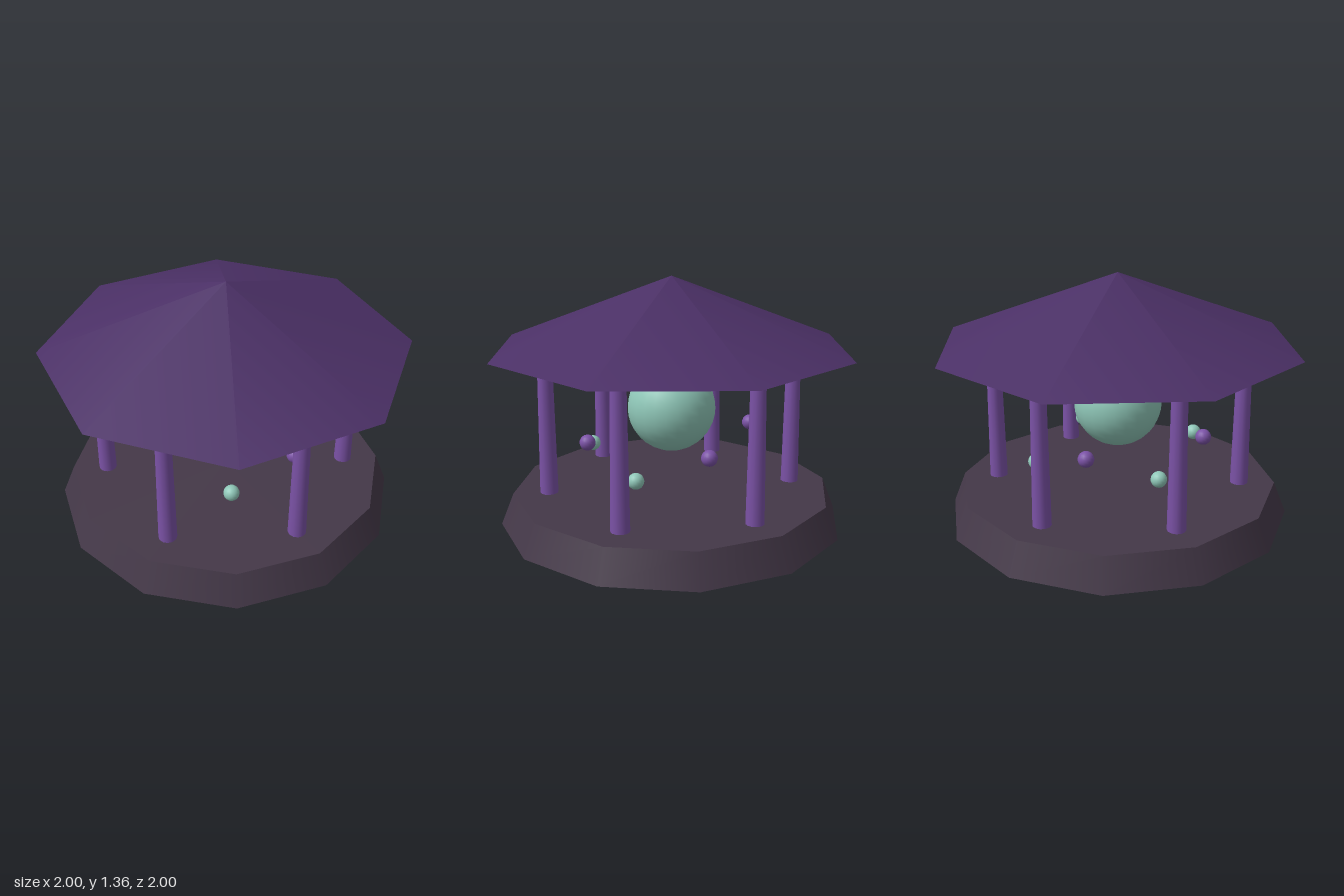
import * as THREE from 'three';

export function createModel() {
  const model = new THREE.Group();
  const paint = (color) => new THREE.MeshStandardMaterial({ color });
  const stone = paint(0x443848);
  const roofPurple = paint(0x4b3066);
  const purple = paint(0x7b52a6);
  const teal = paint(0x8fc7b8);

  const add = (name, geometry, material, x, y, z) => {
    const mesh = new THREE.Mesh(geometry, material);
    mesh.name = name;
    mesh.position.set(x, y, z);
    model.add(mesh);
    return mesh;
  };

  // Twelve-sided base, wider at the foot
  add('base', new THREE.CylinderGeometry(0.88, 0.95, 0.175, 12), stone, 0, 0.0875, 0);

  // Six tapered columns in a ring
  const columnGeometry = new THREE.CylinderGeometry(0.04, 0.05, 0.8, 12);
  for (let i = 0; i < 6; i++) {
    const a = (i * Math.PI) / 3;
    add('column', columnGeometry, purple, 0.683 * Math.cos(a), 0.573, 0.683 * Math.sin(a));
  }

  // Eight-sided pointed roof with a closed underside
  add('roof', new THREE.ConeGeometry(1, 0.39, 8), roofPurple, 0, 1.163, 0);

  // Large central orb
  add('centralOrb', new THREE.SphereGeometry(0.242, 24, 18), teal, 0, 0.637, 0);

  // Ring of small orbs, alternating in colour and height
  const orbGeometry = new THREE.SphereGeometry(0.043, 16, 12);
  for (let i = 0; i < 8; i++) {
    const a = (i * Math.PI) / 4;
    const high = i % 2 === 1;
    add(high ? 'highOrb' : 'lowOrb', orbGeometry, high ? purple : teal,
      0.488 * Math.cos(a), high ? 0.492 : 0.37, 0.488 * Math.sin(a));
  }

  return model;
}
